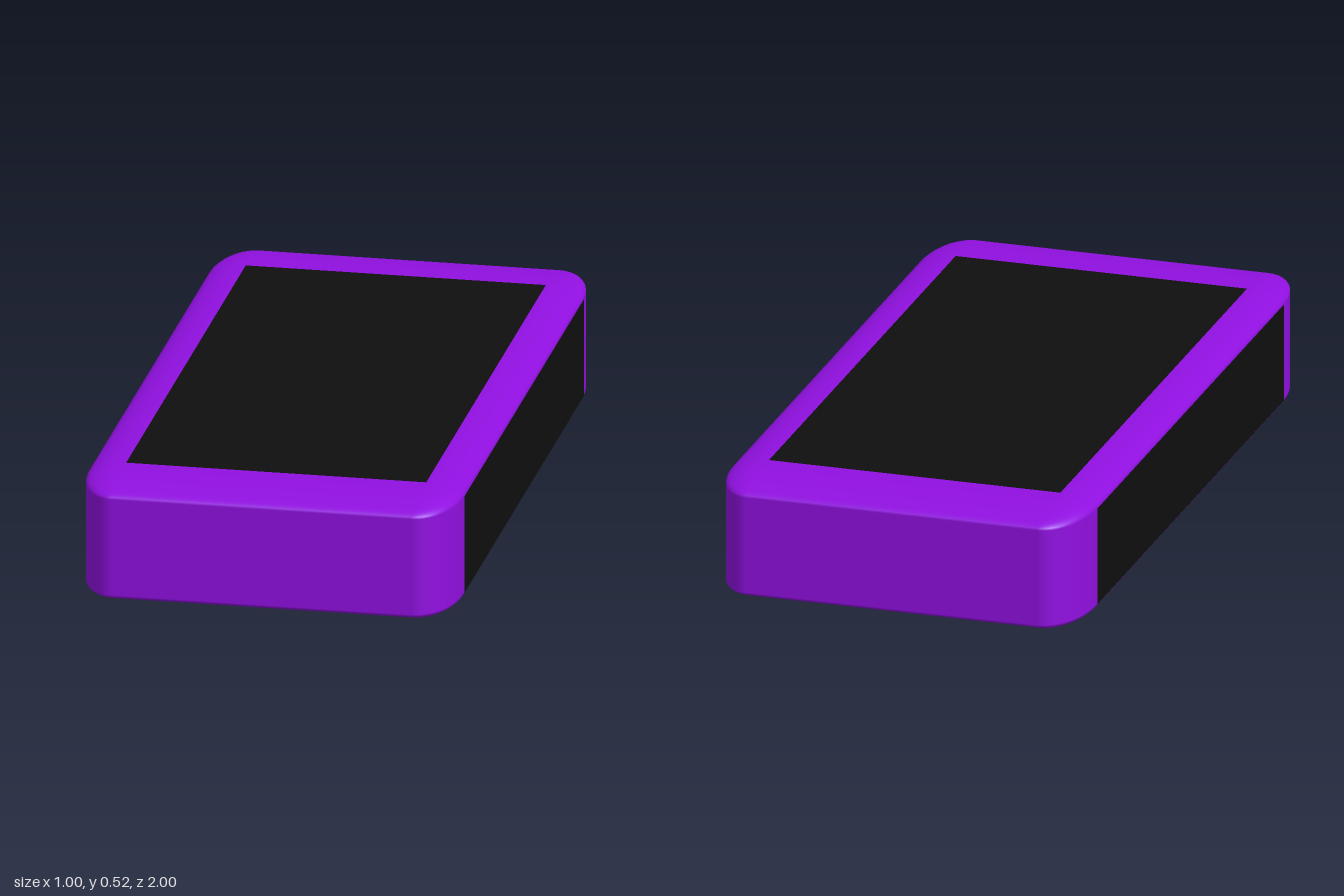
import * as THREE from 'three';
import { RoundedBoxGeometry } from 'three/addons/geometries/RoundedBoxGeometry.js';

const PURPLE = 0x9010e0, BLACK = 0x0f0f0f, GREY = 0x5c5c5c;

export function createModel() {
  const model = new THREE.Group();

  function add(name, geometry, color, parent = model, options = {}) {
    const mesh = new THREE.Mesh(geometry, new THREE.MeshStandardMaterial({ color, ...options }));
    mesh.name = name;
    parent.add(mesh);
    return mesh;
  }
  const lathe = (points, segments = 32) =>
    new THREE.LatheGeometry(points.map(([r, y]) => new THREE.Vector2(r, y)), segments);

  // Body: a rounded cube stretched so its corner radii stretch too
  const W = 1, H = 0.33, L = 2, midY = 0.352;
  const shell = new RoundedBoxGeometry(1, 1, 1, 6, 0.1);
  shell.scale(W, H, L);
  shell.translate(0, midY, 0);
  add('body', shell, PURPLE);

  // Dark panels covering the flat areas of the top, bottom and long sides
  const eps = 0.0015;
  for (const s of [1, -1]) {
    const deck = add(s > 0 ? 'topPanel' : 'bottomPanel', new THREE.PlaneGeometry(W * 0.8, L * 0.8), BLACK);
    deck.rotation.x = -s * Math.PI / 2;
    deck.position.y = midY + s * (H / 2 + eps);
    const side = add(s > 0 ? 'leftPanel' : 'rightPanel', new THREE.PlaneGeometry(L * 0.8, H * 0.81), BLACK);
    side.rotation.y = s * Math.PI / 2;
    side.position.set(s * (W / 2 + eps), midY, 0);
  }

  // Hollow thruster under the body
  const thruster = new THREE.Group();
  thruster.name = 'thruster';
  model.add(thruster);
  add('collar', lathe([[0.293, 0.103], [0.293, 0.19]]), BLACK, thruster, { side: THREE.DoubleSide });
  add('band', lathe([[0.292, 0.073], [0.297, 0.076], [0.297, 0.1], [0.292, 0.104]]), GREY, thruster);
  add('nozzle', lathe([
    [0, 0.16], [0.2, 0.16], [0.21, 0.11], [0.235, 0.025], [0.25, 0],
    [0.268, 0], [0.281, 0.015], [0.29, 0.045], [0.294, 0.075],
  ]), BLACK, thruster, { side: THREE.DoubleSide });

  // Pointed hub with twisted fan blades
  const hub = new THREE.ConeGeometry(0.045, 0.11, 16);
  hub.rotateX(Math.PI);
  hub.translate(0, 0.105, 0);
  add('hub', hub, BLACK, thruster);
  const bladeCount = 16;
  for (let i = 0; i < bladeCount; i++) {
    const blade = new THREE.PlaneGeometry(0.15, 0.055, 2, 1);
    const p = blade.attributes.position;
    for (let k = 0; k < p.count; k++) {
      const t = p.getX(k) / 0.15 + 0.5;
      p.setY(k, p.getY(k) * (0.35 + 0.9 * t));
    }
    blade.rotateX(-Math.PI / 2 + 0.45);
    blade.translate(0.11, 0.115, 0);
    blade.rotateY(i / bladeCount * Math.PI * 2);
    add('fanBlade', blade, GREY, thruster, { side: THREE.DoubleSide, flatShading: true });
  }

  // Four chamfered brackets clasping the collar
  const profile = new THREE.Shape([
    [0.27, 0.115], [0.296, 0.115], [0.309, 0.13], [0.32, 0.155], [0.325, 0.2], [0.27, 0.2],
  ].map(([x, y]) => new THREE.Vector2(x, y)));
  const bracket = new THREE.ExtrudeGeometry(profile, {
    depth: 0.085, bevelEnabled: true, bevelThickness: 0.015, bevelSize: 0.015, bevelSegments: 1,
  });
  bracket.translate(0, 0, -0.0425);
  for (let i = 0; i < 4; i++) {
    add('bracket', bracket, PURPLE, thruster).rotation.y = i * Math.PI / 2;
  }

  return model;
}
